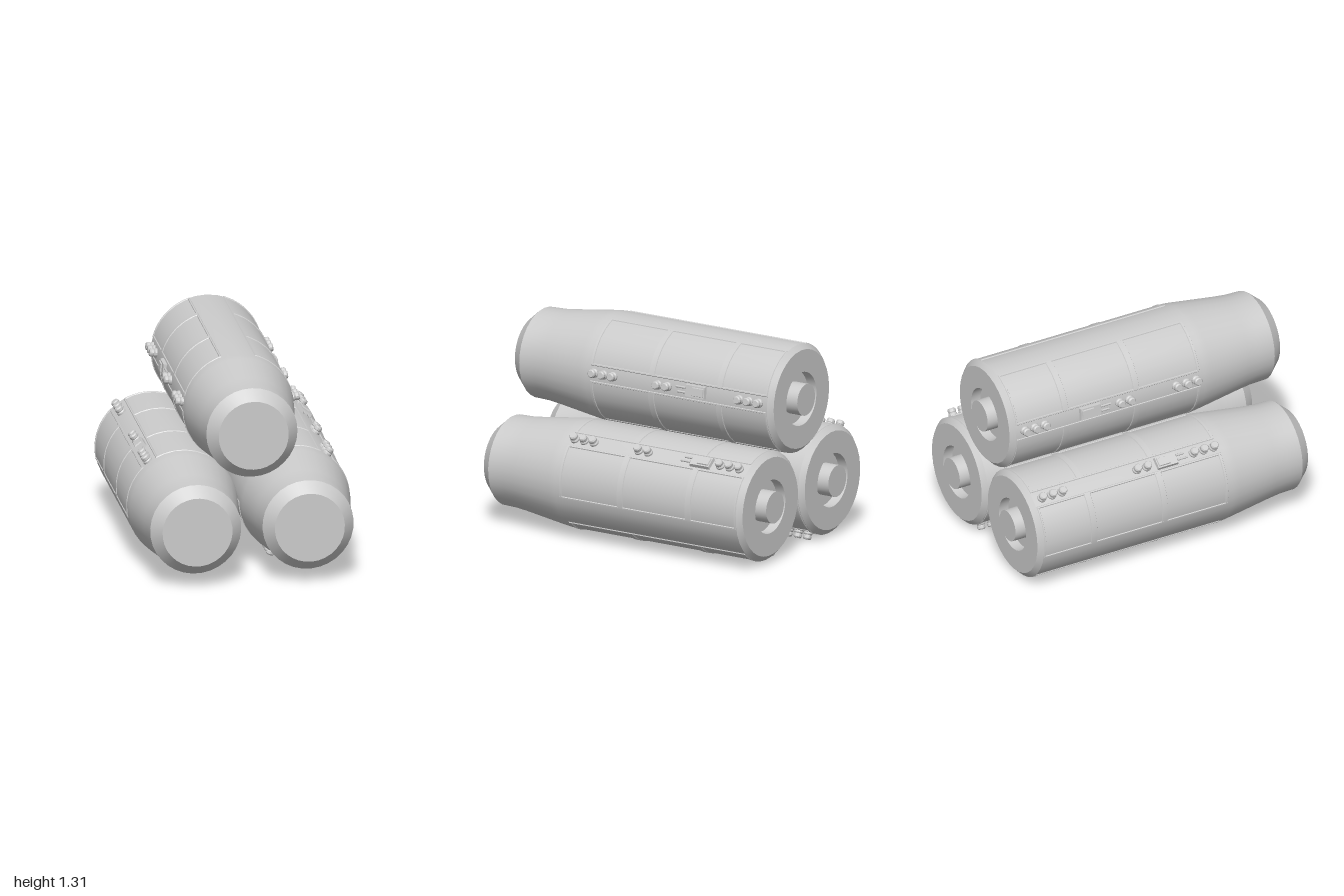
import * as THREE from 'three';
import { toCreasedNormals } from 'three/addons/utils/BufferGeometryUtils.js';

const R = 0.343;              // hull radius
const DEG = Math.PI / 180;
const FIT_ANGLE = 7 * DEG;    // fittings sit just above the horizontal
const mat = new THREE.MeshStandardMaterial({ color: 0xcccccc });

function mesh(geometry, name, parent) {
  const m = new THREE.Mesh(geometry, mat);
  m.name = name;
  parent.add(m);
  return m;
}

// Lathe around z, profile as [radius, z] from back to front
function latheZ(profile, segments) {
  const g = new THREE.LatheGeometry(profile.map(([r, z]) => new THREE.Vector2(r, z)), segments);
  return toCreasedNormals(g.rotateX(Math.PI / 2), 0.4);
}

// Low ridge with sloped sides, bent around the hull
function hullRidge(a0, a1, z0, z1, height = 0.004) {
  const steps = Math.max(1, Math.round((a1 - a0) / (5 * DEG)));
  const g = new THREE.BoxGeometry(1, 1, 1, 1, steps, 1);
  const p = g.attributes.position;
  const slope = 0.006;
  for (let i = 0; i < p.count; i++) {
    const outer = p.getX(i) > 0;
    const inset = outer ? slope : 0;
    const a = THREE.MathUtils.lerp(a0 + inset / R, a1 - inset / R, p.getY(i) + 0.5);
    const z = THREE.MathUtils.lerp(z0 + inset, z1 - inset, p.getZ(i) + 0.5);
    const r = outer ? R + height : R - 0.006;
    p.setXYZ(i, r * Math.cos(a), r * Math.sin(a), z);
  }
  return toCreasedNormals(g, 0.3);
}

// Ladder of ridges framing three panels between two angles
function panelFrame(a0, a1) {
  const frame = new THREE.Group();
  frame.name = 'panelFrame';
  const w = 0.02;
  for (const [z0, z1] of [[0.345, 0.37], [-0.105, -0.055], [-0.605, -0.555], [-0.935, -0.915]]) {
    mesh(hullRidge(a0, a1, Math.min(z0, z1), Math.max(z0, z1)), 'panelCrossRidge', frame);
  }
  for (const a of [a0, a1 - w / R]) {
    mesh(hullRidge(a, a + w / R, -0.935, 0.37), 'panelLongRidge', frame);
  }
  return frame;
}

// Box with its outer (+x) face drawn in
function bevelBox(x0, x1, w, l, inset) {
  const g = new THREE.BoxGeometry(x1 - x0, w, l).translate((x0 + x1) / 2, 0, 0);
  const p = g.attributes.position;
  for (let i = 0; i < p.count; i++) {
    if (p.getX(i) > (x0 + x1) / 2) {
      p.setY(i, p.getY(i) - Math.sign(p.getY(i)) * inset);
      p.setZ(i, p.getZ(i) - Math.sign(p.getZ(i)) * inset);
    }
  }
  return toCreasedNormals(g, 0.2);
}

const boltGeometry = latheZ([
  [0.029, 0.325], [0.029, 0.352], [0.023, 0.36], [0.026, 0.364],
  [0.026, 0.38], [0.02, 0.388], [0, 0.388],
], 14).rotateY(Math.PI / 2);

// Row of bolts and a control box; x is radial, y tangential, z along the hull
function fittingRow(boxZ, side) {
  const row = new THREE.Group();
  row.name = 'fittingRow';
  for (const z of [0.335, 0.265, 0.195, -0.135, -0.205, -0.735, -0.805, -0.875]) {
    mesh(boltGeometry, 'bolt', row).position.z = z;
  }
  const box = new THREE.Group();
  box.name = 'controlBox';
  box.position.z = boxZ;
  mesh(bevelBox(0.325, 0.362, 0.084, 0.15, 0.006), 'boxBody', box);
  mesh(bevelBox(0.36, 0.37, 0.056, 0.085, 0.004), 'boxLid', box).position.z = -0.022;
  // Pair of pins leaving the front of the box
  for (const [y, length] of [[0.014, 0.07], [-0.016, 0.055]]) {
    const pin = new THREE.CylinderGeometry(0.007, 0.007, length, 8).rotateX(Math.PI / 2);
    mesh(pin, 'boxPin', box).position.set(0.351, y * side, 0.075 + length / 2);
  }
  row.add(box);
  return row;
}

function createTank(name, boxZ) {
  const tank = new THREE.Group();
  tank.name = name;
  // Hull with rear recess, centre stub and tapered nose
  mesh(latheZ([
    [0, -1], [0.1, -1], [0.1, -0.9], [0.17, -0.9], [0.17, -0.965], [0.312, -0.965],
    [R, -0.935], [R, 0.4], [0.337, 0.45], [0.296, 0.74], [0.287, 0.82], [0.284, 0.925],
    [0.218, 1], [0, 1],
  ], 32), 'hull', tank);

  // Upper and lower panel frames on both flanks
  for (const [a, b] of [[14, 73], [-60, -1]]) {
    tank.add(panelFrame(a * DEG, b * DEG), panelFrame((180 - b) * DEG, (180 - a) * DEG));
  }
  for (const side of [1, -1]) {
    const row = fittingRow(boxZ, side);
    row.rotation.z = side > 0 ? FIT_ANGLE : Math.PI - FIT_ANGLE;
    tank.add(row);
  }
  return tank;
}

export function createModel() {
  const model = new THREE.Group();
  model.name = 'tankCluster';
  // Three tanks arranged around a common axis
  const tanks = [['topTank', -0.415], ['leftTank', -0.6], ['rightTank', 0]];
  tanks.forEach(([name, boxZ], i) => {
    const turn = -i * 120 * DEG;
    const tank = createTank(name, boxZ);
    tank.rotation.z = turn;
    tank.position.set(-0.404 * Math.sin(turn), 0.57 + 0.404 * Math.cos(turn), 0);
    model.add(tank);
  });
  return model;
}
